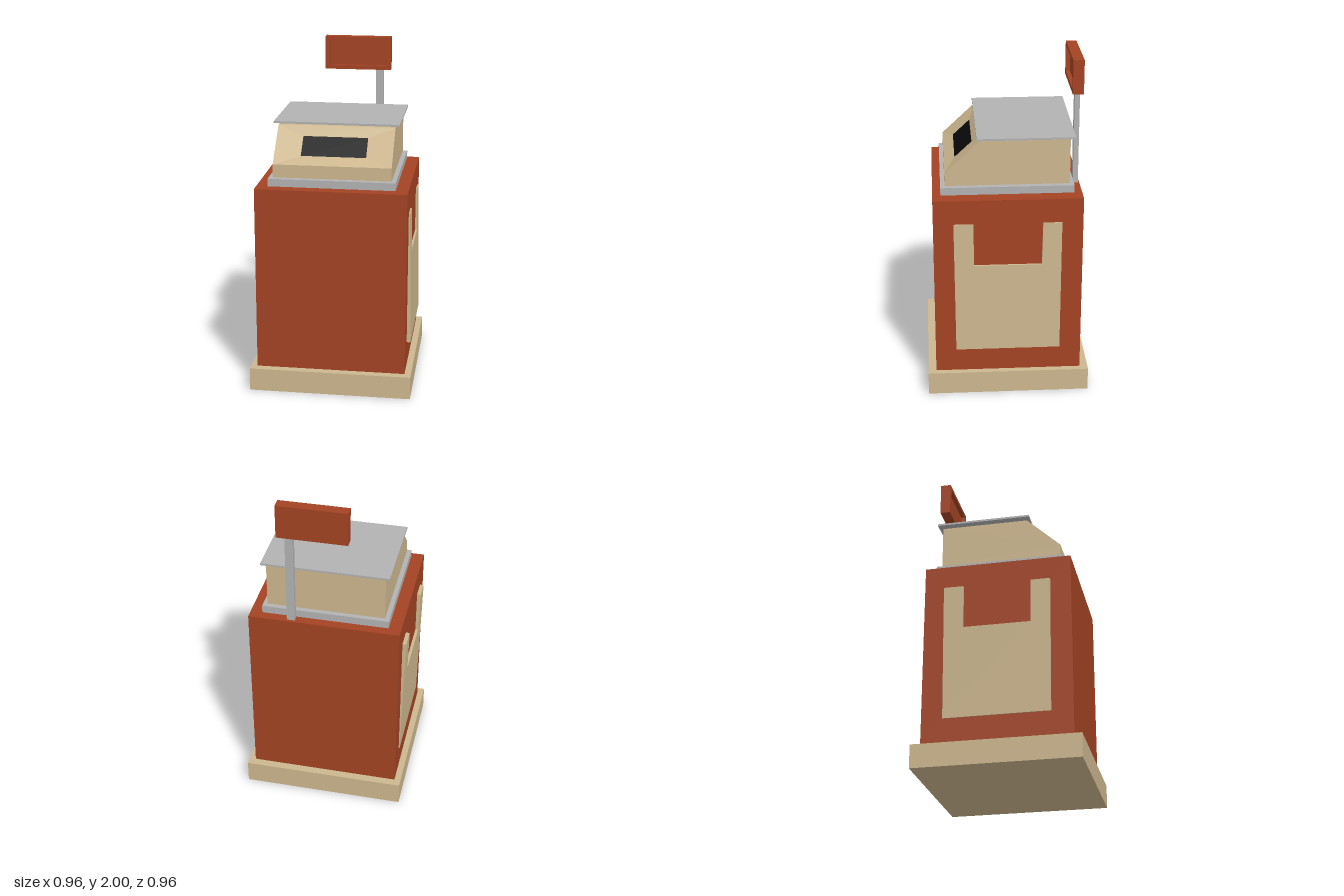
import * as THREE from 'three';

const mat = (name, color) => {
  const m = new THREE.MeshStandardMaterial({ color });
  m.name = name;
  return m;
};

// flat-shaded polygons, corners counter-clockwise seen from outside
function polygons(faces) {
  const pos = [];
  for (const f of faces)
    for (let i = 1; i < f.length - 1; i++) pos.push(...f[0], ...f[i], ...f[i + 1]);
  const g = new THREE.BufferGeometry();
  g.setAttribute('position', new THREE.Float32BufferAttribute(pos, 3));
  g.computeVertexNormals();
  return g;
}

export function createModel() {
  const model = new THREE.Group();
  model.name = 'countertopScaleOnPedestal';
  const red = mat('rustRed', 0xa34323);
  const tan = mat('tan', 0xccb68e);
  const grey = mat('lightGrey', 0xb2b2b2);
  const black = mat('black', 0x0a0a0a);

  const add = (name, geometry, material) => {
    const mesh = new THREE.Mesh(geometry, material);
    mesh.name = name;
    model.add(mesh);
    return mesh;
  };
  // box given by its limits on each axis
  const box = (name, material, [x0, x1], [y0, y1], [z0, z1]) =>
    add(name, new THREE.BoxGeometry(x1 - x0, y1 - y0, z1 - z0), material)
      .position.set((x0 + x1) / 2, (y0 + y1) / 2, (z0 + z1) / 2);

  // pedestal
  box('base', tan, [-0.48, 0.48], [0, 0.138], [-0.48, 0.48]);
  box('cabinet', red, [-0.442, 0.442], [0.138, 1.24], [-0.432, 0.432]);

  // U-shaped side panels, each leaning slightly against the cabinet
  const u = new THREE.Shape([
    [-0.31, 0.29], [0.305, 0.29], [0.31, 1.095], [0.2, 1.095],
    [0.195, 0.835], [-0.2, 0.835], [-0.2, 1.095], [-0.315, 1.095],
  ].map(([a, b]) => new THREE.Vector2(a, b)));
  for (const [name, side, low, high] of [
    ['leftPanel', 1, 0.465, 0.45], ['rightPanel', -1, 0.448, 0.465],
  ]) {
    const g = new THREE.ExtrudeGeometry(u, { depth: 0.03, bevelEnabled: false });
    g.rotateY(side * Math.PI / 2);
    if (side < 0) g.scale(1, 1, 1);
    const p = g.attributes.position;
    for (let i = 0; i < p.count; i++) {
      const t = (p.getY(i) - 0.29) / 0.805;
      const outer = Math.abs(p.getX(i)) > 0.015;
      p.setX(i, side * (outer ? low + (high - low) * t : 0.435));
    }
    g.computeVertexNormals();
    // mirror the outline so both panels share the same front and back
    const mesh = add(name, g, tan);
    if (side < 0) mesh.position.z = 0.002;
  }

  // scale tray and housing with a sunken display slope
  box('tray', grey, [-0.37, 0.37], [1.247, 1.292], [-0.385, 0.385]);
  const w = 0.344, s = 0.19;
  const side = (x) => [[x, 1.295, 0.36], [x, 1.295, -0.36], [x, 1.562, -0.36], [x, 1.562, 0.158], [x, 1.372, 0.36]];
  const L = side(w), R = side(-w);
  const screen = [[-s, 1.412, 0.298], [s, 1.412, 0.298], [s, 1.506, 0.198], [-s, 1.506, 0.198]];
  const slope = [R[4], L[4], L[3], R[3]];
  const faces = [L, [...R].reverse()];
  for (let i = 0; i < 5; i++) {
    const j = (i + 1) % 5;
    if (i !== 3) faces.push([L[j], L[i], R[i], R[j]]);
  }
  for (let i = 0; i < 4; i++) {
    const j = (i + 1) % 4;
    faces.push([slope[i], slope[j], screen[j], screen[i]]);
  }
  add('scaleHousing', polygons(faces), tan);
  add('screen', polygons([screen]), black);
  box('weighingPlate', grey, [-0.37, 0.37], [1.572, 1.584], [-0.387, 0.175]);

  // customer display on a post
  box('post', grey, [0.168, 0.215], [1.245, 1.81], [-0.422, -0.392]);
  const frame = new THREE.Shape([[-0.145, 1.8], [0.26, 1.8], [0.26, 2], [-0.145, 2]]
    .map(([a, b]) => new THREE.Vector2(a, b)));
  frame.holes.push(new THREE.Path([[-0.115, 1.825], [-0.115, 1.98], [0.235, 1.98], [0.235, 1.825]]
    .map(([a, b]) => new THREE.Vector2(a, b))));
  const rim = add('displayFrame', new THREE.ExtrudeGeometry(frame, { depth: 0.025, bevelEnabled: false }), red);
  rim.position.z = -0.4;
  box('displayBack', red, [-0.145, 0.26], [1.8, 2], [-0.438, -0.4]);
  return model;
}
